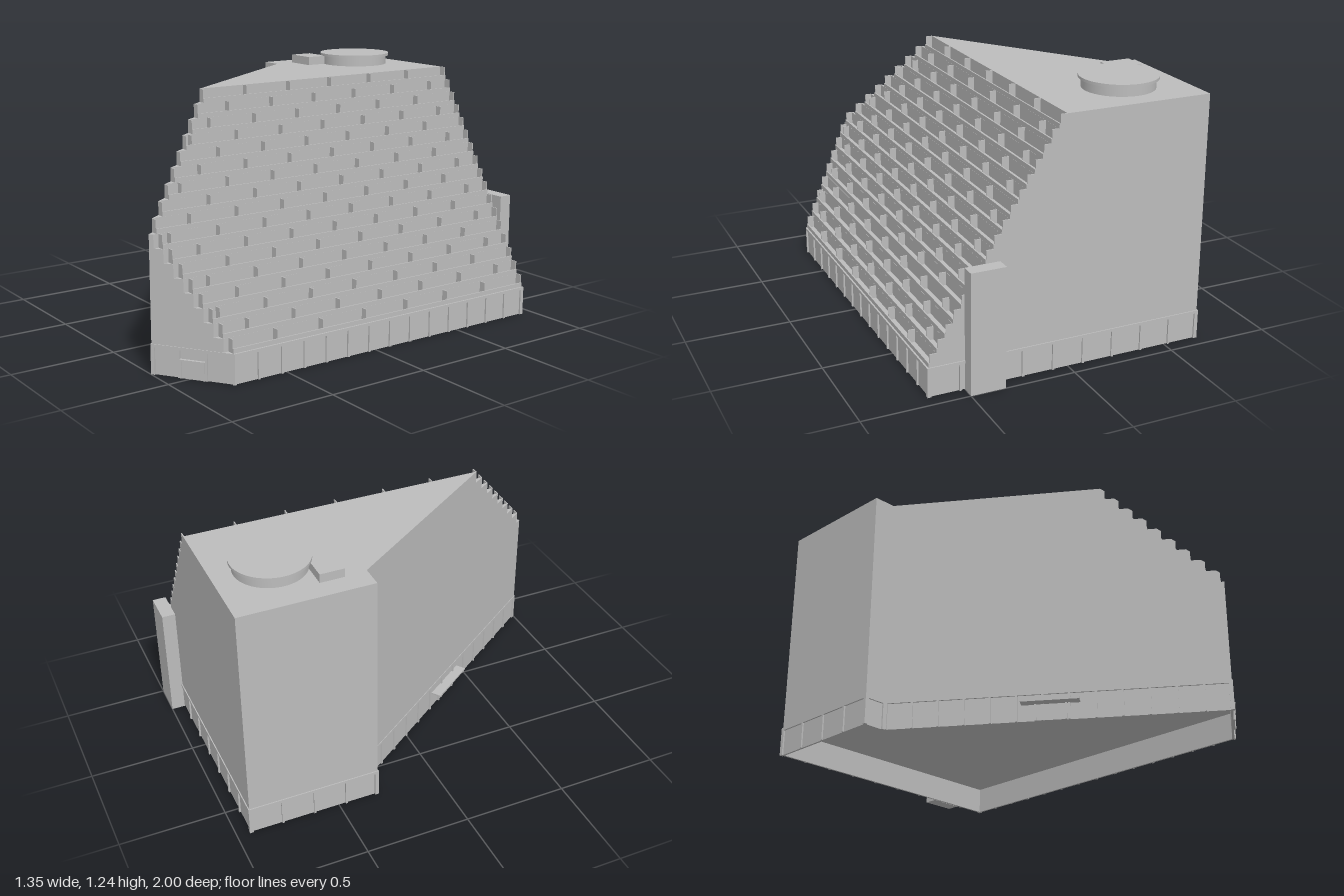
import * as THREE from 'three';

const BASE_H = 0.14, TOP = 1.18, FLOORS = 17;
const FLOOR_H = (TOP - BASE_H) / FLOORS, STEP = 0.0375, BACK = -0.935;

// Front boundary of the plan: long diagonal, then the cut corner
const frontZ = x => (x <= 0.35 ? -0.305 + (x + 0.56) * (1.3 / 0.91) : 0.995 - (x - 0.35) * (0.22 / 0.32));

export function createModel() {
  const model = new THREE.Group();
  model.name = 'steppedTower';
  const concrete = new THREE.MeshStandardMaterial({ color: 0xbcbcbc });
  concrete.name = 'concrete grey';

  const add = (geometry, name, parent = model) => {
    const mesh = new THREE.Mesh(geometry, concrete);
    mesh.name = name;
    parent.add(mesh);
    return mesh;
  };
  // Box given by its minimum and maximum corners
  const box = (name, x0, x1, y0, y1, z0, z1, parent) => {
    const mesh = add(new THREE.BoxGeometry(x1 - x0, y1 - y0, z1 - z0), name, parent);
    mesh.position.set((x0 + x1) / 2, (y0 + y1) / 2, (z0 + z1) / 2);
    return mesh;
  };
  // Upright prism over a plan of [x, z] points
  const prism = (name, plan, y0, y1, parent) => {
    const shape = new THREE.Shape(plan.map(([x, z]) => new THREE.Vector2(x, -z)));
    const geometry = new THREE.ExtrudeGeometry(shape, { depth: y1 - y0, bevelEnabled: false });
    geometry.rotateX(-Math.PI / 2);
    geometry.translate(0, y0, 0);
    return add(geometry, name, parent);
  };

  // Ground floor: open shell with recessed panels, pilasters and a top band
  const plan = [[-0.675, -0.3], [-0.56, -0.3], [0.35, 1], [0.675, 0.775], [0.675, -0.94], [-0.675, -0.94]];
  const bays = [1, 13, 3, 14, 9, 4];
  const sides = plan.map(([x, z], i) => {
    const [x2, z2] = plan[(i + 1) % plan.length];
    const length = Math.hypot(x2 - x, z2 - z);
    const side = new THREE.Group();
    side.name = 'groundFloorSide';
    side.position.set(x, 0, z);
    side.rotation.y = Math.atan2(z - z2, x2 - x);
    model.add(side);
    box('panelWall', 0, length, 0, 0.13, -0.018, -0.008, side);
    for (let k = 0; k <= bays[i]; k++) {
      const c = 0.005 + (length - 0.01) * k / bays[i];
      box('pilaster', c - 0.005, c + 0.005, 0, 0.13, -0.012, 0, side);
    }
    side.userData.length = length;
    return side;
  });
  prism('groundFloorBand', plan, 0.126, BASE_H, model);

  // Entrances: a framed doorway with a canopy on two of the front sides
  const entrance = (side, centre, width, canopyWidth, canopyDepth) => {
    const h = width / 2, w = canopyWidth / 2;
    box('door', centre - h, centre + h, 0, 0.078, -0.01, -0.002, side);
    for (const s of [-1, 1]) box('doorFrame', centre + s * h - 0.004, centre + s * h + 0.004, 0, 0.08, -0.01, 0.003, side);
    box('canopy', centre - w, centre + w, 0.079, 0.087, -0.01, canopyDepth, side);
  };
  entrance(sides[1], 0.77, 0.14, 0.27, 0.042);
  entrance(sides[2], sides[2].userData.length / 2, 0.11, 0.12, 0.006);

  // Tower floors, each set back from the one below, with a balcony row
  for (let i = 0; i < FLOORS; i++) {
    const x = 0.63 - STEP * i, y0 = BASE_H + FLOOR_H * i, y1 = y0 + FLOOR_H;
    const floor = new THREE.Group();
    floor.name = 'floor';
    model.add(floor);
    const outline = [[-0.67, BACK], [-0.67, -0.305], [-0.56, -0.305]];
    if (x > 0.35) outline.push([0.35, 0.995]);
    outline.push([x, frontZ(x)], [x, BACK]);
    prism('floorBlock', outline, y0, y1, floor);

    const end = Math.min(frontZ(x), frontZ(x + 0.037));
    box('balconyParapet', x + 0.031, x + 0.037, y0, y0 + 0.021, BACK, end, floor);
    const divider = z => box('balconyDivider', x, x + 0.032, y0, y1, z, z + 0.005, floor);
    divider(BACK);
    divider(end - 0.005);
    // Dividers are staggered from floor to floor
    for (let k = 2 - (i % 2); BACK + 0.123 * k < end - 0.03; k += 2) divider(BACK + 0.123 * k);
  }

  // Stair shaft on the back wall
  box('stairShaft', 0.335, 0.5, 0, 0.57, -1, -0.935);

  // Rooftop drum with overhanging disc, and plant box
  const drum = add(new THREE.CylinderGeometry(0.167, 0.167, 0.046, 64), 'roofDrum');
  drum.position.set(-0.365, TOP + 0.023, -0.67);
  const disc = add(new THREE.CylinderGeometry(0.181, 0.181, 0.013, 64), 'roofDisc');
  disc.position.set(-0.365, 1.231, -0.67);
  box('roofPlantBox', -0.57, -0.42, TOP, 1.222, -0.525, -0.41);

  return model;
}
